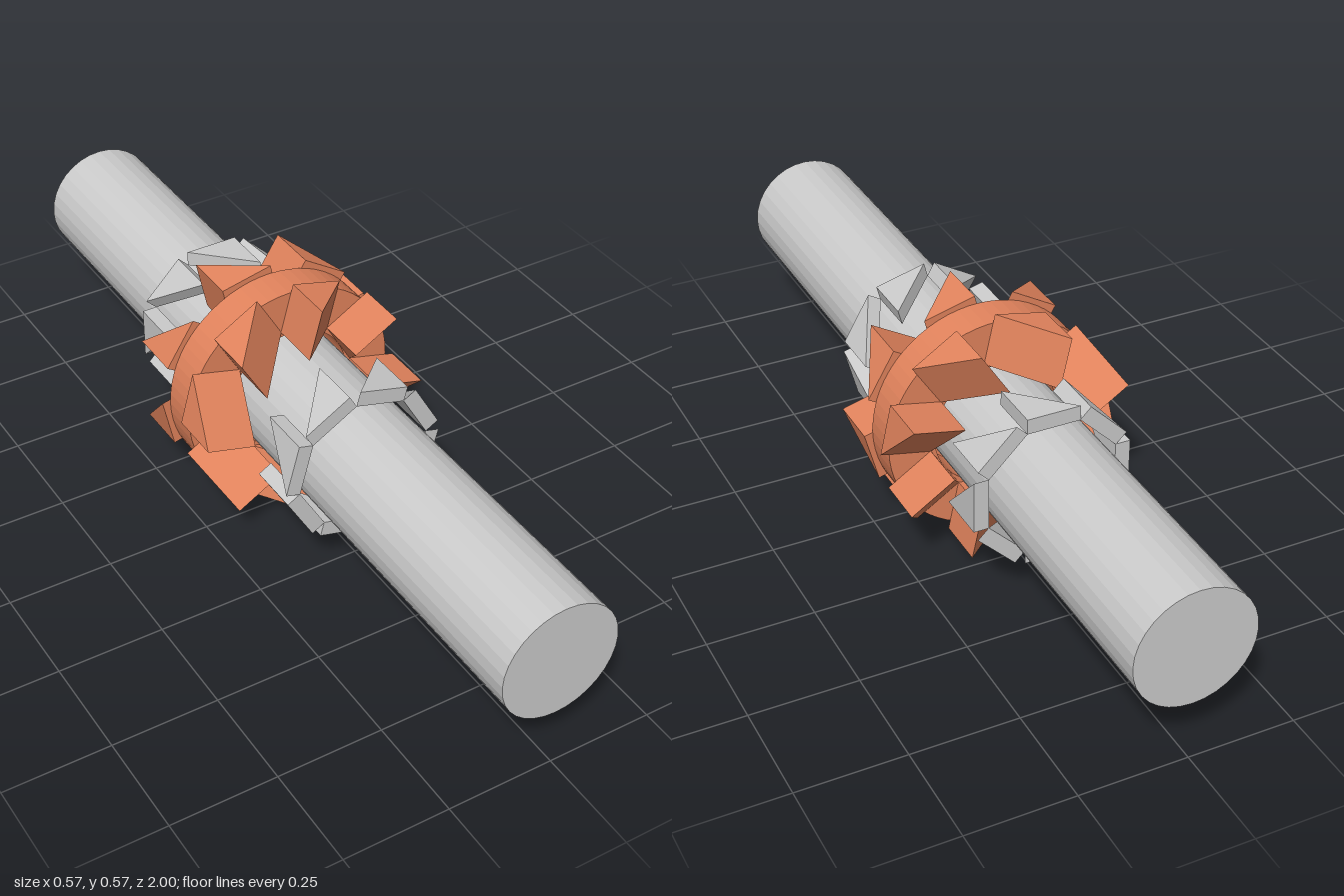
import * as THREE from 'three';

const AXIS_Y = 0.285;      // height of the shaft axis
const HOLE_R = 0.152;      // bore shared by the ring and all teeth
const TOOTH_W = 0.127;
const TOOTH_COUNT = 8;

const grey = new THREE.MeshStandardMaterial({ color: 0xcccccc, flatShading: true });
const orange = new THREE.MeshStandardMaterial({ color: 0xe3845d, flatShading: true });

// Ratchet tooth: a right triangle across (x, z), extruded outwards along the radius (+y).
// The upright wall is on side wallX (-1 or +1), running from baseZ to tipZ.
function toothGeometry(baseZ, tipZ, wallX, outerR) {
  const w = TOOTH_W / 2;
  const shape = new THREE.Shape([
    new THREE.Vector2(-w, -baseZ),
    new THREE.Vector2(w, -baseZ),
    new THREE.Vector2(wallX * w, -tipZ),
  ]);
  const geometry = new THREE.ExtrudeGeometry(shape, { depth: outerR - HOLE_R, bevelEnabled: false });
  return geometry.rotateX(-Math.PI / 2).translate(0, HOLE_R, 0);
}

// Circle of equal teeth round the shaft, starting at startDeg clockwise from the top
function toothCircle(name, geometry, material, startDeg) {
  const group = new THREE.Group();
  group.name = name;
  for (let i = 0; i < TOOTH_COUNT; i++) {
    const tooth = new THREE.Mesh(geometry, material);
    tooth.name = 'tooth';
    tooth.rotation.z = -THREE.MathUtils.degToRad(startDeg + (i * 360) / TOOTH_COUNT);
    group.add(tooth);
  }
  return group;
}

export function createModel() {
  const model = new THREE.Group();
  model.name = 'ratchetClutch';
  const assembly = new THREE.Group();
  assembly.name = 'shaftAssembly';
  assembly.position.y = AXIS_Y;
  model.add(assembly);

  // Long shaft along z
  const shaft = new THREE.Mesh(new THREE.CylinderGeometry(0.141, 0.141, 2, 32).rotateX(Math.PI / 2), grey);
  shaft.name = 'shaft';
  assembly.add(shaft);

  // Sliding ring with a clear bore
  const outline = new THREE.Shape().absarc(0, 0, 0.263, 0, Math.PI * 2, false);
  outline.holes.push(new THREE.Path().absarc(0, 0, HOLE_R, 0, Math.PI * 2, true));
  const ringGeometry = new THREE.ExtrudeGeometry(outline, { depth: 0.09, bevelEnabled: false, curveSegments: 32 });
  const ring = new THREE.Mesh(ringGeometry.translate(0, 0, -0.131), orange);
  ring.name = 'slidingRing';
  assembly.add(ring);

  // Teeth on both faces of the ring, and the fixed teeth facing them
  assembly.add(
    toothCircle('ringFrontTeeth', toothGeometry(-0.041, 0.084, -1, 0.276), orange, 15),
    toothCircle('ringBackTeeth', toothGeometry(-0.131, -0.256, -1, 0.276), orange, -12),
    toothCircle('fixedFrontTeeth', toothGeometry(0.278, 0.153, 1, 0.188), grey, 15),
    toothCircle('fixedBackTeeth', toothGeometry(-0.404, -0.279, 1, 0.188), grey, 0),
  );
  return model;
}
